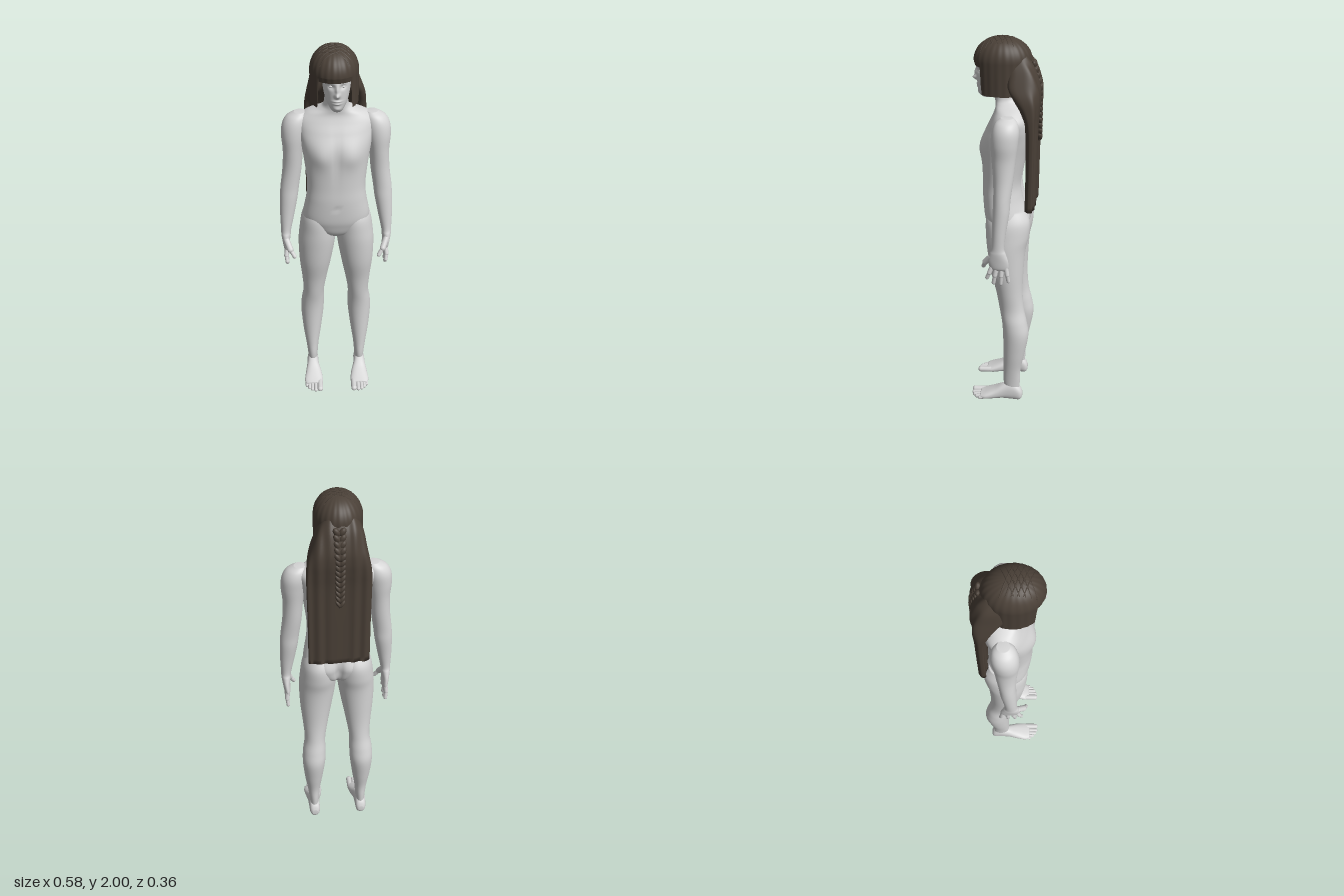
import * as THREE from 'three';
import { ParametricGeometry } from 'three/addons/geometries/ParametricGeometry.js';

const skin = new THREE.MeshStandardMaterial({ color: 0xd6d6d6 });
skin.name = 'pale grey skin';
const hair = new THREE.MeshStandardMaterial({ color: 0x4a4037, side: THREE.DoubleSide });
hair.name = 'dark brown hair';

// Smooth closed loft through sections [y, xMin, xMax, zMin, zMax], listed bottom to top.
function loft(sections, { power = 1, segs = 40, steps = 6, side = 1, shape } = {}) {
  const spline = (a, b, c, d, t) =>
    b + 0.5 * t * (c - a + t * (2 * a - 5 * b + 4 * c - d + t * (3 * (b - c) + d - a)));
  const at = (i) => sections[Math.min(Math.max(i, 0), sections.length - 1)];
  const rows = [];
  for (let i = 0; i < sections.length - 1; i++)
    for (let k = 0; k < steps; k++)
      rows.push(at(i).map((_, c) => spline(at(i - 1)[c], at(i)[c], at(i + 1)[c], at(i + 2)[c], k / steps)));
  rows.push(at(sections.length - 1));
  const pos = [], index = [];
  const bend = (v) => Math.sign(v) * Math.abs(v) ** power;
  for (const [y, x0, x1, z0, z1] of rows)
    for (let j = 0; j < segs; j++) {
      const a = (j / segs) * Math.PI * 2;
      const p = new THREE.Vector3(
        side * (x0 + x1) / 2 + bend(Math.cos(a)) * (x1 - x0) / 2, y,
        (z0 + z1) / 2 + bend(Math.sin(a)) * (z1 - z0) / 2);
      if (shape) shape(p, Math.sin(a));
      pos.push(p.x, p.y, p.z);
    }
  for (let i = 0; i < rows.length - 1; i++)
    for (let j = 0; j < segs; j++) {
      const a = i * segs + j, b = i * segs + (j + 1) % segs;
      index.push(a, a + segs, b, b, a + segs, b + segs);
    }
  // End caps
  const last = (rows.length - 1) * segs, n = rows.length * segs;
  for (const r of [rows[0], rows[rows.length - 1]]) pos.push(side * (r[1] + r[2]) / 2, r[0], (r[3] + r[4]) / 2);
  for (let j = 0; j < segs; j++) {
    const k = (j + 1) % segs;
    index.push(n, j, k, n + 1, last + k, last + j);
  }
  const g = new THREE.BufferGeometry();
  g.setAttribute('position', new THREE.Float32BufferAttribute(pos, 3));
  g.setIndex(index);
  g.computeVertexNormals();
  return g;
}

// Rounded rod between two points
function rod(a, b, r) {
  const p = new THREE.Vector3(...a), q = new THREE.Vector3(...b), d = q.clone().sub(p);
  const g = new THREE.CapsuleGeometry(r, d.length(), 5, 12);
  g.applyQuaternion(new THREE.Quaternion().setFromUnitVectors(new THREE.Vector3(0, 1, 0), d.normalize()));
  return g.translate((p.x + q.x) / 2, (p.y + q.y) / 2, (p.z + q.z) / 2);
}

const bump = (dx, dy, sx, sy) => Math.exp(-((dx / sx) ** 2) - (dy / sy) ** 2);

export function createModel() {
  const model = new THREE.Group();
  const add = (name, geometry, material = skin) => {
    const m = new THREE.Mesh(geometry, material);
    m.name = name;
    model.add(m);
    return m;
  };

  // Torso and neck, with chest, belly, spine and buttocks swelled by rule
  add('torso', loft([
    [0.965, -0.03, 0.03, -0.06, 0.04], [1.0, -0.11, 0.11, -0.1, 0.08],
    [1.05, -0.16, 0.16, -0.11, 0.1], [1.1, -0.172, 0.172, -0.11, 0.112],
    [1.2, -0.155, 0.155, -0.088, 0.12], [1.28, -0.148, 0.148, -0.08, 0.12],
    [1.4, -0.16, 0.16, -0.1, 0.122], [1.5, -0.176, 0.176, -0.122, 0.118],
    [1.57, -0.19, 0.19, -0.13, 0.092], [1.62, -0.19, 0.19, -0.125, 0.068],
    [1.655, -0.15, 0.15, -0.105, 0.055], [1.68, -0.09, 0.09, -0.08, 0.055],
    [1.705, -0.062, 0.062, -0.06, 0.06], [1.76, -0.056, 0.056, -0.05, 0.07],
  ], { power: 0.88, segs: 64, steps: 8, shape: (p, s) => {
    const x = Math.abs(p.x);
    if (s > 0) p.z += s * (0.016 * bump(x - 0.08, p.y - 1.46, 0.055, 0.06) - 0.006 * bump(x, p.y - 1.45, 0.015, 0.12)
      - 0.006 * bump(x, p.y - 1.17, 0.012, 0.012));
    else p.z += s * (0.022 * bump(x - 0.075, p.y - 1.07, 0.055, 0.07) - 0.014 * bump(x, p.y - 1.3, 0.02, 0.22)
      - 0.02 * bump(x, p.y - 1.04, 0.014, 0.08));
  } }));

  // Head, with nose, eye sockets, lips and chin raised by rule
  add('head', loft([
    [1.705, -0.022, 0.022, 0.06, 0.12], [1.72, -0.034, 0.034, 0.03, 0.136],
    [1.75, -0.05, 0.05, -0.01, 0.143], [1.78, -0.06, 0.06, -0.04, 0.145],
    [1.82, -0.067, 0.067, -0.065, 0.147], [1.86, -0.07, 0.07, -0.085, 0.147],
    [1.92, -0.068, 0.068, -0.085, 0.135], [1.965, -0.04, 0.04, -0.04, 0.08],
  ], { segs: 96, steps: 12, power: 0.92, shape: (p, s) => {
    if (s <= 0) return;
    const x = Math.abs(p.x);
    p.z += s * (0.02 * bump(x, p.y - 1.797, 0.011, 0.011) + 0.013 * bump(x, p.y - 1.822, 0.008, 0.024)
      - 0.011 * bump(x - 0.028, p.y - 1.838, 0.015, 0.012) + 0.006 * bump(x, p.y - 1.768, 0.02, 0.005)
      + 0.006 * bump(x, p.y - 1.755, 0.017, 0.005) + 0.005 * bump(x, p.y - 1.728, 0.018, 0.01));
  } }));

  for (const side of [1, -1]) {
    const label = side > 0 ? 'left' : 'right';
    const limb = (name, a, b, r) => add(name, rod([a[0] * side, a[1], a[2]], [b[0] * side, b[1], b[2]], r));

    const eye = add(label + 'Eye', new THREE.SphereGeometry(0.01, 16, 10));
    eye.scale.set(1.2, 0.7, 1);
    eye.position.set(side * 0.028, 1.837, 0.125);

    // Arm from palm to shoulder
    add(label + 'Arm', loft([
      [0.875, 0.25, 0.272, -0.035, 0.04], [0.89, 0.244, 0.279, -0.045, 0.052],
      [0.93, 0.245, 0.285, -0.042, 0.06], [0.97, 0.24, 0.29, -0.03, 0.052],
      [1.0, 0.237, 0.29, -0.022, 0.043], [1.08, 0.22, 0.292, -0.03, 0.04],
      [1.18, 0.2, 0.29, -0.045, 0.038], [1.25, 0.19, 0.285, -0.05, 0.035],
      [1.35, 0.175, 0.272, -0.062, 0.037], [1.45, 0.165, 0.267, -0.072, 0.045],
      [1.53, 0.15, 0.273, -0.082, 0.05], [1.59, 0.14, 0.267, -0.086, 0.045],
      [1.63, 0.14, 0.244, -0.076, 0.03], [1.652, 0.15, 0.205, -0.055, 0.005],
    ], { side }));

    // Fingers and thumb
    for (const [z0, z1, y1] of [[0.042, 0.066, 0.83], [0.018, 0.033, 0.803], [-0.007, -0.004, 0.8], [-0.031, -0.043, 0.815]]) {
      const mid = [0.266, (0.89 + y1) / 2, (z0 + z1) / 2];
      limb(label + 'Finger', [0.262, 0.89, z0], mid, 0.012);
      limb(label + 'Fingertip', mid, [0.262, y1, z1], 0.01);
    }
    limb(label + 'ThumbBase', [0.262, 0.95, 0.045], [0.243, 0.91, 0.077], 0.016);
    limb(label + 'Thumb', [0.243, 0.91, 0.077], [0.222, 0.876, 0.09], 0.011);

    // Leg from ankle to hip
    add(label + 'Leg', loft([
      [0.04, 0.112, 0.158, -0.085, -0.015], [0.12, 0.107, 0.163, -0.092, 0],
      [0.2, 0.1, 0.172, -0.095, 0], [0.3, 0.085, 0.186, -0.115, 0],
      [0.42, 0.07, 0.196, -0.135, 0.002], [0.5, 0.067, 0.192, -0.125, 0.008],
      [0.58, 0.066, 0.18, -0.108, 0.022], [0.68, 0.05, 0.186, -0.1, 0.04],
      [0.8, 0.027, 0.197, -0.103, 0.07], [0.92, 0.007, 0.2, -0.112, 0.088],
      [1.0, 0.002, 0.193, -0.128, 0.095], [1.08, 0.01, 0.179, -0.13, 0.095],
      [1.14, 0.03, 0.15, -0.1, 0.075],
    ], { side }));

    // Foot, lofted heel to toe and laid forward
    add(label + 'Foot', loft([
      [-0.105, 0.12, 0.15, -0.05, -0.018], [-0.09, 0.107, 0.163, -0.08, 0],
      [-0.05, 0.104, 0.167, -0.11, 0], [0, 0.1, 0.17, -0.095, -0.003],
      [0.05, 0.086, 0.178, -0.066, -0.001], [0.1, 0.08, 0.184, -0.042, 0],
      [0.13, 0.084, 0.174, -0.03, -0.004],
    ], { side, power: 0.85 }).rotateX(Math.PI / 2));
    [[0.097, 0.167, 0.016], [0.122, 0.17, 0.011], [0.141, 0.163, 0.0105], [0.157, 0.15, 0.01], [0.171, 0.13, 0.01]]
      .forEach(([x, z, r]) => limb(label + 'Toe', [x, 0.02, 0.095], [x, r, z], r));
  }

  // Cap of hair: dome, short fringe in front, longer locks at the sides
  add('hairCap', new ParametricGeometry((u, v, out) => {
    const a = u * Math.PI * 2, f = Math.sin(a);
    const phi = Math.min(v * 2, 1) * Math.PI / 2, drop = Math.max(v * 2 - 1, 0);
    const length = 0.157 - 0.132 * THREE.MathUtils.smoothstep(f, 0.69, 0.74);
    const r = Math.sin(phi) ** 0.9 * (1 - 0.05 * drop * Math.max(f, 0)) + 0.006 * Math.sin(a * 24) * Math.sin(phi);
    out.set(-0.01 + 0.117 * r * Math.cos(a), 1.885 + 0.113 * Math.cos(phi) - length * drop, 0.02 + 0.143 * r * f);
  }, 144, 32), hair);

  // Long hair down the back, rippled into strands
  add('backHair', loft([
    [1.15, -0.155, 0.155, -0.153, -0.107], [1.4, -0.155, 0.155, -0.157, -0.11],
    [1.58, -0.157, 0.157, -0.16, -0.105], [1.66, -0.155, 0.155, -0.167, -0.08],
    [1.72, -0.145, 0.148, -0.172, -0.04], [1.78, -0.132, 0.128, -0.167, 0],
    [1.86, -0.115, 0.095, -0.14, 0], [1.92, -0.08, 0.06, -0.1, 0],
  ], { power: 0.55, segs: 96, shape: (p) => { p.z += 0.004 * Math.sin(p.x * 110); } }), hair);

  // Braid over the back hair
  for (let i = 0; i < 14; i++) {
    const y = 1.87 - i * 0.028, w = 0.026 - i * 0.0008;
    for (const s of [1, -1]) {
      const z = y > 1.76 ? -0.133 - (1.87 - y) * 0.3 : -0.165;
      const knot = add('braidStrand', new THREE.SphereGeometry(1, 12, 8), hair);
      knot.scale.set(w * 0.6, 0.024, 0.014);
      knot.position.set(s * w * 0.5, y, z);
      knot.rotation.z = -s * 0.6;
    }
  }

  // Woven bands crossing over the crown
  const onCrown = (x, z) => new THREE.Vector3(x - 0.01,
    1.886 + 0.113 * Math.sqrt(Math.max(0, 1 - (x / 0.117) ** 2 - ((z - 0.02) / 0.143) ** 2)), z);
  for (let i = 0; i < 5; i++)
    for (const s of [1, -1]) {
      const pts = [];
      for (let k = 0; k <= 8; k++) pts.push(onCrown(s * (-0.07 + 0.14 * k / 8), -0.04 + i * 0.025 + 0.06 * k / 8));
      add('crownBand', new THREE.TubeGeometry(new THREE.CatmullRomCurve3(pts), 20, 0.003, 6), hair);
    }

  return model;
}
